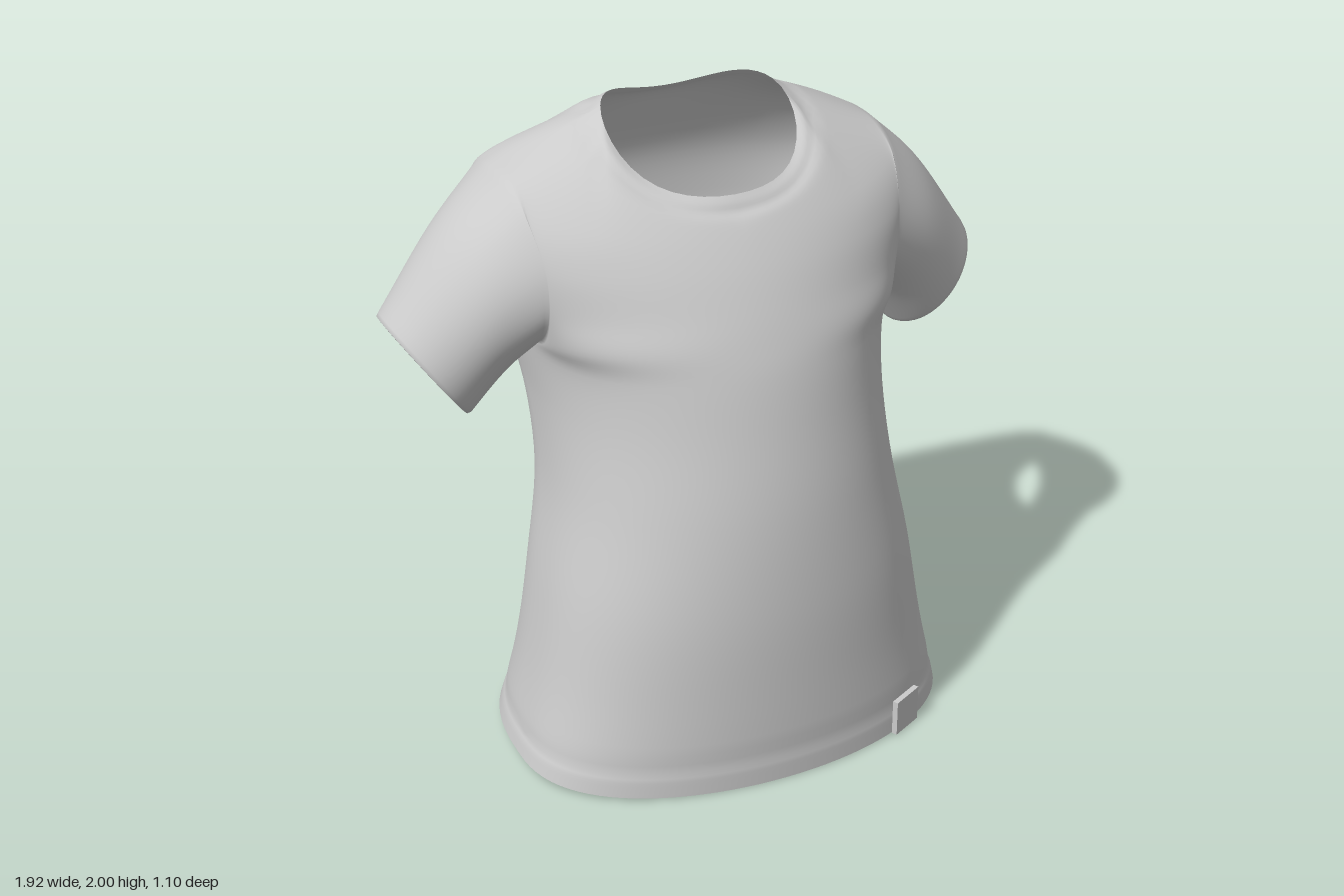
import * as THREE from 'three';
import { mergeVertices } from 'three/addons/utils/BufferGeometryUtils.js';

const V = (x, y, z) => new THREE.Vector3(x, y, z);
const N = 24;          // columns per half panel
const SUB = 6;         // rows between key sections
const ARMPIT = 6;      // key section where the armholes start

// Key sections from hem to yoke: half width, side y, front/back side z,
// front centre y/z, back centre y/z, front/back roundness
const SECTIONS = [
  [0.708, 0.03, 0.1, 0.1, 0.005, 0.545, 0.04, -0.545, 0.8, 0.8],
  [0.69, 0.1, 0.1, 0.1, 0.09, 0.547, 0.11, -0.522, 0.8, 0.8],
  [0.645, 0.3, 0.08, 0.08, 0.3, 0.55, 0.3, -0.455, 0.8, 0.8],
  [0.595, 0.6, 0.05, 0.05, 0.6, 0.548, 0.6, -0.405, 0.8, 0.8],
  [0.545, 0.9, 0, 0, 0.9, 0.52, 0.9, -0.412, 0.85, 0.8],
  [0.54, 1.15, -0.08, -0.08, 1.15, 0.47, 1.15, -0.46, 0.85, 0.7],
  [0.56, 1.32, -0.16, -0.16, 1.32, 0.428, 1.33, -0.485, 0.75, 0.5],
  [0.56, 1.39, 0.04, -0.35, 1.41, 0.396, 1.42, -0.5, 0.95, 0.8],
  [0.565, 1.49, 0.12, -0.44, 1.5, 0.357, 1.53, -0.51, 1.5, 1.4],
  [0.57, 1.63, 0.12, -0.465, 1.61, 0.3, 1.69, -0.5, 1.8, 1.5],
  [0.59, 1.775, 0.03, -0.4, 1.71, 0.235, 1.85, -0.43, 1.7, 1.4],
];
const ROWS = (SECTIONS.length + 1) * SUB;

// Neck opening, angle 0 at the front and PI at the back
function neckPoint(f) {
  const c = Math.cos(f);
  const y = 1.914 - 0.0875 * c - 0.036 * Math.cos(2 * f) + 0.02 * (Math.cos(3 * f) - c);
  return V(0.295 * Math.sin(f), y, -0.075 + 0.24 * c);
}

// Top edge of a panel: half the neck opening, then the shoulder seam
const SPLIT = 1.92;
function topPoint(s, back) {
  if (s >= 0.5) return neckPoint(SPLIT).lerp(V(0.6, 1.84, -0.19), s * 2 - 1);
  return neckPoint(back ? Math.PI - (Math.PI - SPLIT) * 2 * s : SPLIT * 2 * s);
}

function sectionPoint(row, s, back) {
  const [w, ys, zsF, zsB, yF, zF, yB, zB, qF, qB] = row;
  const c = Math.max(0, Math.cos(s * Math.PI / 2));
  const zs = back ? zsB : zsF;
  return V(w * Math.sin(s * Math.PI / 2), ys + ((back ? yB : yF) - ys) * c,
    zs + ((back ? zB : zF) - zs) * c ** (back ? qB : qF));
}

// Key points of one column, with a rounded step between yoke and top edge
function keyPoints(s, back) {
  const pts = SECTIONS.map((r) => sectionPoint(r, s, back));
  const top = topPoint(s, back);
  const bulge = back ? 0.018 : 0.022 * Math.min(1, 2 * s);
  const round = pts.at(-1).clone().lerp(top, 0.55);
  round.y += bulge;
  round.z += bulge * (back ? -0.7 : 0.7);
  return [...pts, round, top];
}

// Front and back points of one column; outer columns run over the shoulder
function column(i) {
  const s = i / N;
  const front = keyPoints(s, false), back = keyPoints(s, true);
  const [f, b] = [front, back].map((k) => new THREE.CatmullRomCurve3(k).getPoints(ROWS));
  const over = THREE.MathUtils.smoothstep(s, 0.5, 0.8);
  if (over > 0) {
    const all = new THREE.CatmullRomCurve3([...front, ...back.slice(0, -1).reverse()]).getPoints(2 * ROWS);
    for (let r = 0; r <= ROWS; r++) {
      f[r].lerp(all[r], over);
      b[r].lerp(all[2 * ROWS - r], over);
    }
  }
  if (i === N) {
    // close the side seam below the armpit
    for (let r = 0; r <= ARMPIT * SUB; r++) {
      f[r].lerp(b[r], 0.5);
      b[r].copy(f[r]);
    }
  }
  return [f, b];
}

const mirrored = (p, sign) => V(p.x * sign, p.y, p.z);

// Sleeve columns: armhole edge, upper arm, rounded cuff, turned-in lip
function sleeveColumns(edge, sign) {
  const [f, b] = edge;
  const loop = [...f.slice(ARMPIT * SUB), ...b.slice(ARMPIT * SUB, ROWS).reverse()];
  return loop.map((p) => {
    const a = Math.atan2((p.z + 0.17) / 0.29, (p.y - 1.58) / 0.26);
    const c = Math.cos(a), n = Math.sin(a);
    const ring = (x, y, z, ux, uy, rz) => V(x + ux * c, y + uy * c, z + rz * n);
    const pts = new THREE.CatmullRomCurve3([
      p,
      ring(0.702, 1.46, -0.185, 0.057, 0.234, 0.262),
      ring(0.837, 1.271, -0.2, 0.116, 0.16, 0.207),
    ]).getPoints(20);
    pts.push(
      ring(0.846, 1.264, -0.2, 0.113, 0.156, 0.203),
      ring(0.847, 1.263, -0.2, 0.108, 0.15, 0.196),
      ring(0.82, 1.282, -0.2, 0.107, 0.149, 0.194),
    );
    return pts.map((q) => mirrored(q, sign));
  });
}

export function createModel() {
  const group = new THREE.Group();
  const material = new THREE.MeshStandardMaterial({ color: 0xcccccc, side: THREE.DoubleSide });
  const positions = [], indices = [], parts = [];

  function addGrid(name, cols, flip) {
    const base = positions.length / 3, h = cols[0].length, start = indices.length;
    cols.forEach((col) => col.forEach((p) => positions.push(p.x, p.y, p.z)));
    for (let i = 0; i < cols.length - 1; i++) {
      for (let j = 0; j < h - 1; j++) {
        const a = base + i * h + j, b = a + h;
        if (flip) indices.push(a, b + 1, b, a, a + 1, b + 1);
        else indices.push(a, b, b + 1, a, b + 1, a + 1);
      }
    }
    parts.push({ name, start, end: indices.length });
  }

  // Front and back panels
  const half = Array.from({ length: N + 1 }, (_, i) => column(i));
  ['frontPanel', 'backPanel'].forEach((name, k) => {
    const cols = [];
    for (let i = -N; i <= N; i++) {
      cols.push(half[Math.abs(i)][k].map((p) => mirrored(p, i < 0 ? -1 : 1)));
    }
    addGrid(name, cols, k === 1);
  });

  // Sleeves
  addGrid('leftSleeve', sleeveColumns(half[N], 1), true);
  addGrid('rightSleeve', sleeveColumns(half[N], -1), false);

  // Weld all patches so the shading runs across the seams
  let shell = new THREE.BufferGeometry();
  shell.setAttribute('position', new THREE.Float32BufferAttribute(positions, 3));
  shell.setIndex(indices);
  shell = mergeVertices(shell, 1e-4);
  shell.computeVertexNormals();

  // Shallow stitched grooves around the collar and above the hem
  const neck = Array.from({ length: 61 }, (_, i) => neckPoint(Math.PI * i / 60));
  const pos = shell.attributes.position, nor = shell.attributes.normal;
  const p = V(), n = V(), q = V();
  for (let i = 0; i < pos.count; i++) {
    p.fromBufferAttribute(pos, i);
    q.set(Math.abs(p.x), p.y, p.z);
    const d = p.y > 1.6 ? Math.min(...neck.map((k) => k.distanceTo(q))) - 0.05 : p.y - 0.105;
    n.fromBufferAttribute(nor, i);
    p.addScaledVector(n, -0.006 * Math.exp(-((d / 0.018) ** 2)));
    pos.setXYZ(i, p.x, p.y, p.z);
  }
  shell.computeVertexNormals();

  const index = Array.from(shell.index.array);
  for (const { name, start, end } of parts) {
    const geometry = new THREE.BufferGeometry();
    geometry.setAttribute('position', shell.attributes.position);
    geometry.setAttribute('normal', shell.attributes.normal);
    geometry.setIndex(index.slice(start, end));
    const mesh = new THREE.Mesh(geometry, material);
    mesh.name = name;
    group.add(mesh);
  }

  // Small folded tab on the hem
  const tab = new THREE.Mesh(new THREE.BoxGeometry(0.118, 0.118, 0.018), material);
  tab.name = 'hemTab';
  tab.position.set(0.463, 0.066, 0.46);
  tab.rotation.y = 0.48;
  group.add(tab);

  return group;
}
